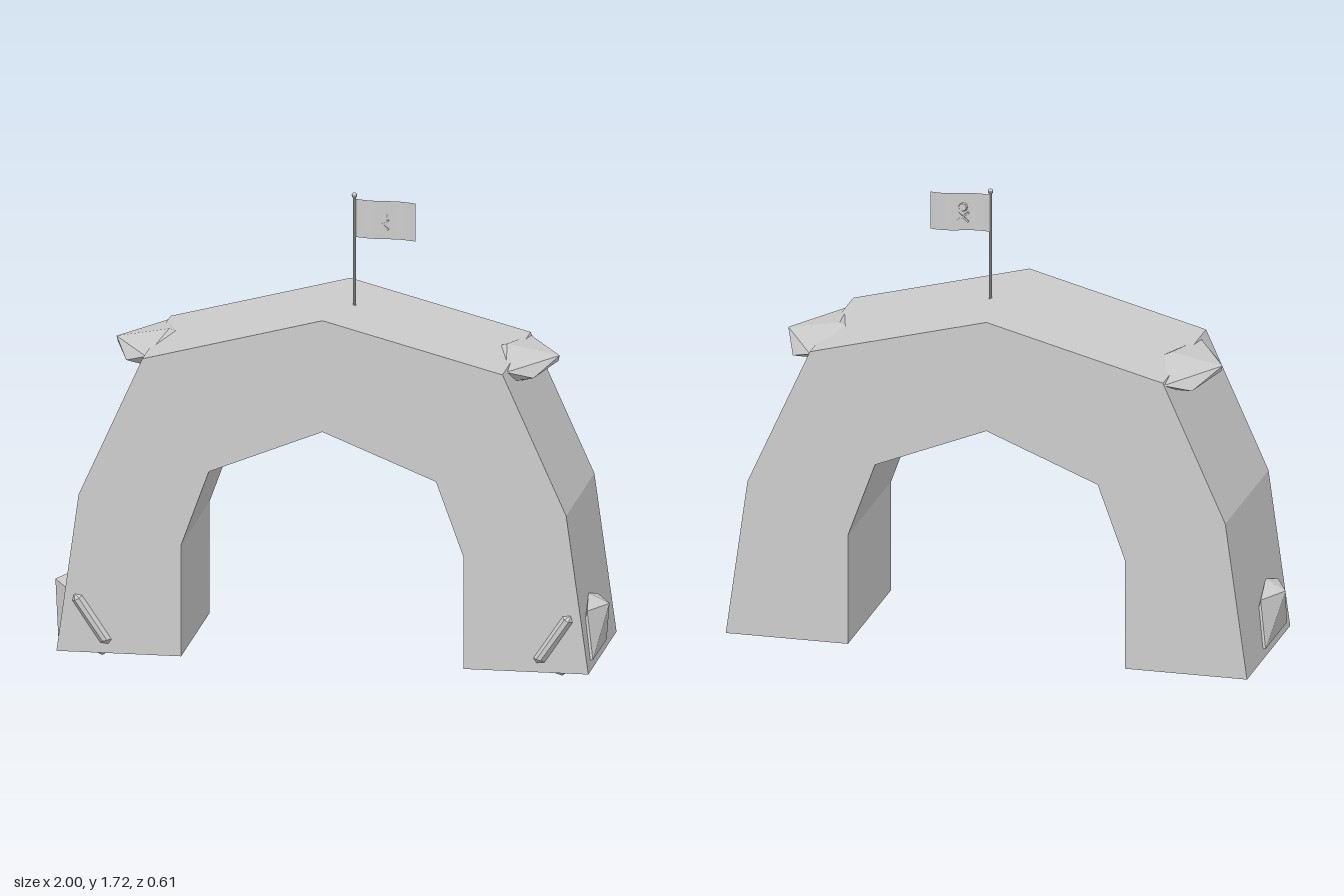
import * as THREE from 'three';
import { ConvexGeometry } from 'three/addons/geometries/ConvexGeometry.js';

const stone = new THREE.MeshStandardMaterial({ color: 0xcccccc, flatShading: true, side: THREE.DoubleSide });
stone.name = 'grey stone';

export function createModel() {
  const model = new THREE.Group();
  model.name = 'rockArch';

  const add = (name, geometry, x = 0, y = 0, z = 0) => {
    const mesh = new THREE.Mesh(geometry, stone);
    mesh.name = name;
    mesh.position.set(x, y, z);
    model.add(mesh);
    return mesh;
  };

  // Angular arch, extruded front to back
  const outer = [[0.96, 0.07], [0.88, 0.65], [0.65, 1.16]];
  const inner = [[0.41, 0.755], [0.51, 0.48], [0.51, 0.07]];
  const mirror = (pts) => pts.map(([x, y]) => [-x, y]).reverse();
  const outline = [...outer, [0, 1.33], ...mirror(outer), ...mirror(inner), [0, 0.92], ...inner];
  const archShape = new THREE.Shape(outline.map(([x, y]) => new THREE.Vector2(x, y)));
  const arch = new THREE.ExtrudeGeometry(archShape, { depth: 0.594, bevelEnabled: false });
  add('arch', arch, 0, 0, -0.307);

  // Faceted stones, given for the left side and mirrored to the right
  const stones = {
    ShoulderStone: [
      [0.8, 1.15, -0.045], [0.795, 1.13, -0.045], [0.65, 1.15, 0.215], [0.65, 1.15, -0.305],
      [0.61, 1.185, -0.045], [0.575, 1.172, -0.06], [0.735, 1.11, -0.225], [0.735, 1.11, 0.13],
      [0.68, 1.08, 0.06], [0.68, 1.08, -0.12], [0.66, 1.1, -0.2], [0.66, 1.1, 0.15],
    ],
    SideStone: [
      [1, 0.278, 0.075], [0.94, 0.278, 0.195], [0.94, 0.278, -0.045], [0.925, 0.315, 0.08],
      [0.965, 0.105, 0.22], [0.965, 0.105, -0.07], [0.9, 0.105, 0.22], [0.9, 0.105, -0.07],
    ],
    FootStone: [
      [0.83, 0.005, 0.08], [0.925, 0.072, 0.08], [0.88, 0.072, 0.2], [0.77, 0.072, 0.23],
      [0.725, 0.072, 0.06], [0.8, 0.072, -0.07], [0.9, 0.072, -0.03], [0.83, 0.1, 0.08],
    ],
    FrontSliver: [
      [0.76, 0.122, 0.285], [0.772, 0.103, 0.285], [0.803, 0.107, 0.285],
      [0.904, 0.258, 0.285], [0.897, 0.284, 0.285], [0.867, 0.28, 0.285],
      [0.775, 0.122, 0.305], [0.79, 0.117, 0.305], [0.891, 0.263, 0.305], [0.876, 0.272, 0.305],
    ],
  };
  for (const [name, points] of Object.entries(stones)) {
    for (const side of [1, -1]) {
      const vectors = points.map(([x, y, z]) => new THREE.Vector3(x * side, y, z));
      add((side > 0 ? 'left' : 'right') + name, new ConvexGeometry(vectors));
    }
  }

  // Flagpole with a small ball on top
  add('flagpole', new THREE.CylinderGeometry(0.006, 0.006, 0.41, 10), 0.065, 1.512, -0.008);
  add('poleBall', new THREE.SphereGeometry(0.01, 10, 8), 0.065, 1.717, -0.008);

  // Gently waving flag
  const wave = (u) => 0.008 * Math.sin(u * Math.PI * 2);
  const cloth = new THREE.PlaneGeometry(0.22, 0.14, 12, 1);
  const pos = cloth.attributes.position;
  for (let i = 0; i < pos.count; i++) {
    const u = pos.getX(i) / 0.22 + 0.5;
    pos.setZ(i, wave(u));
    pos.setY(i, pos.getY(i) - 0.008 * u);
  }
  cloth.computeVertexNormals();
  add('flag', cloth, 0.175, 1.634, -0.009);

  // Small raised emblem: a flat disc over two crossed bars
  const disc = add('flagEmblemDisc', new THREE.CylinderGeometry(0.018, 0.014, 0.008, 8), 0.167, 1.648, -0.009);
  disc.rotation.x = Math.PI / 2;
  for (const tilt of [0.7, -0.7]) {
    const bar = add('flagEmblemBar', new THREE.BoxGeometry(0.055, 0.006, 0.008), 0.167, 1.612, -0.009);
    bar.rotation.z = tilt;
  }

  return model;
}
